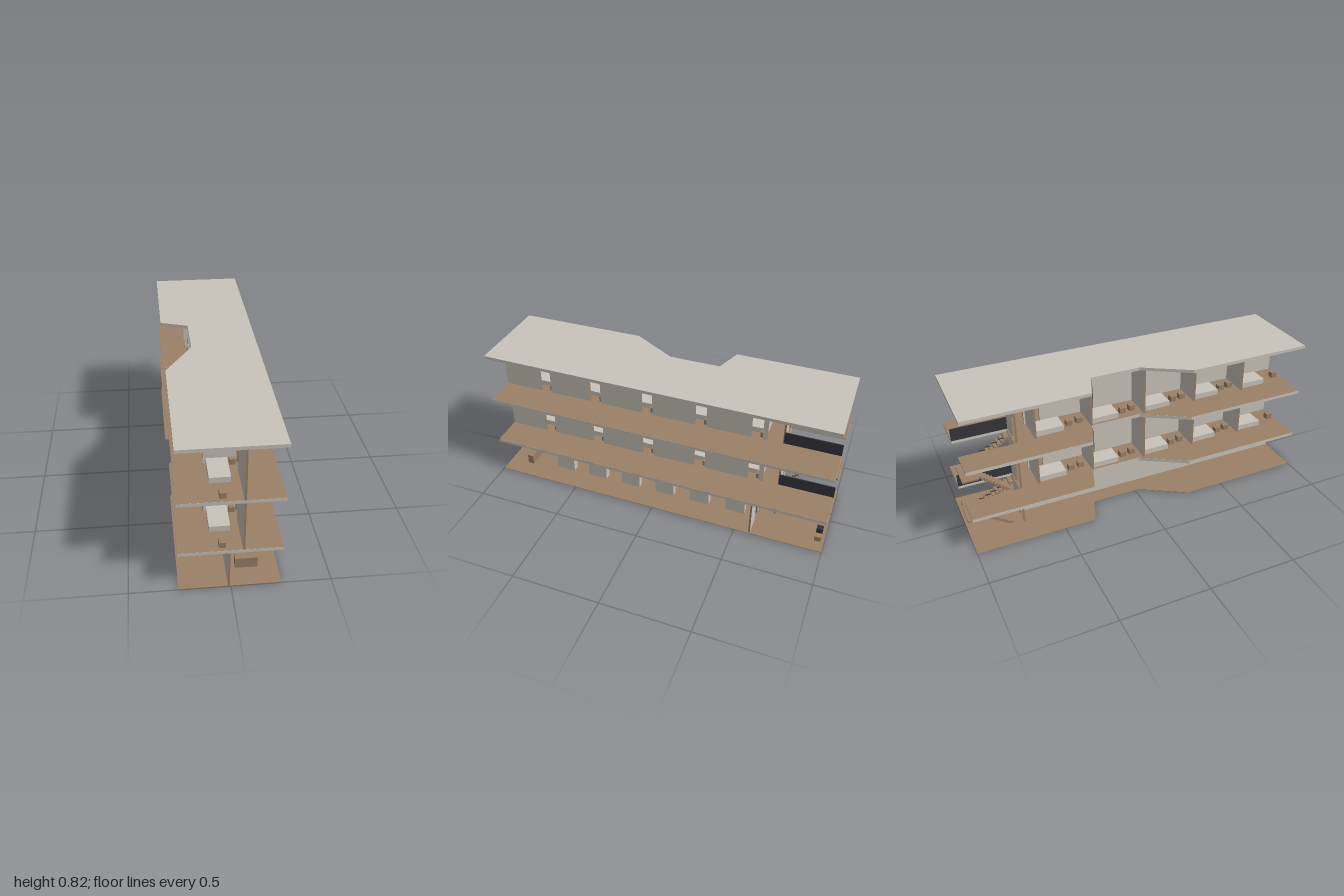
import * as THREE from 'three';

const mat = (name, color) => new THREE.MeshStandardMaterial({ name, color });

export function createModel() {
  const wall = mat('plaster grey', 0xc9c4ba);
  const wood = mat('wood brown', 0x9b8067);
  const dark = mat('dark metal', 0x36353b);
  const model = new THREE.Group();
  model.name = 'building';

  const add = (name, geometry, material) => {
    const m = new THREE.Mesh(geometry, material);
    m.name = name;
    model.add(m);
    return m;
  };
  // Box given by its min and max on each axis
  const box = (name, material, x0, x1, y0, y1, z0, z1) => {
    const m = add(name, new THREE.BoxGeometry(x1 - x0, y1 - y0, z1 - z0), material);
    m.position.set((x0 + x1) / 2, (y0 + y1) / 2, (z0 + z1) / 2);
    return m;
  };

  // Plan outline with the angled recess; upper floors get a stairwell cut-out
  const planShape = (stairwell) => {
    const pts = [[-0.258, 1], [0.25, 1], [0.262, -1]];
    if (stairwell) pts.push([0.055, -1], [0.055, -0.7], [-0.11, -0.7], [-0.11, -1]);
    pts.push([-0.265, -1], [-0.265, -0.32], [-0.11, -0.265], [-0.11, 0.02], [-0.262, 0.275]);
    return new THREE.Shape(pts.map(([x, z]) => new THREE.Vector2(x, -z)));
  };
  const slab = (name, shape, y, depth, material) => {
    const g = new THREE.ExtrudeGeometry(shape, { depth, bevelEnabled: false });
    add(name, g.rotateX(-Math.PI / 2), material).position.y = y;
  };
  const floorFinish = (shape, y) => {
    const g = new THREE.ShapeGeometry(shape).rotateX(-Math.PI / 2);
    add('floorFinish', g, wood).position.y = y;
  };

  // Thin wall with door openings: plaster faces, brown edges and jambs
  const T = 0.01, DOOR = 0.145;
  const wallGeometry = (u0, u1, h, doors) => {
    const s = new THREE.Shape();
    s.moveTo(u0, 0);
    for (const [a, b] of doors) {
      s.lineTo(a, 0); s.lineTo(a, DOOR); s.lineTo(b, DOOR); s.lineTo(b, 0);
    }
    s.lineTo(u1, 0); s.lineTo(u1, h); s.lineTo(u0, h);
    return new THREE.ExtrudeGeometry(s, { depth: T, bevelEnabled: false }).translate(0, 0, -T / 2);
  };
  const wallAlongX = (name, z, y, x0, x1, h, doors = []) =>
    add(name, wallGeometry(x0, x1, h, doors), [wall, wood]).position.set(0, y, z);
  const wallAlongZ = (name, x, y, z0, z1, h, doors = []) =>
    add(name, wallGeometry(z0, z1, h, doors).rotateY(-Math.PI / 2), [wall, wood]).position.set(x, y, 0);

  // Floors and roof
  slab('groundFloor', planShape(false), 0.001, 0.002, wood);
  for (const top of [0.232, 0.528]) {
    slab('floorSlab', planShape(true), top - 0.018, 0.018, wall);
    floorFinish(planShape(true), top + 0.0006);
  }
  slab('roofSlab', planShape(false), 0.804, 0.018, wall);

  // Ground floor walls
  const stairDoor = [[-0.095, -0.03]];
  wallAlongZ('groundSpineWall', -0.01, 0.002, -0.69, 1, 0.212);
  wallAlongX('groundEndWall', -0.588, 0.002, 0.06, 0.25, 0.212, [[0.085, 0.15]]);
  wallAlongX('groundStairWall', -0.69, 0.002, -0.11, 0.055, 0.212, stairDoor);

  // Ground floor fittings
  box('receptionDesk', wood, 0.035, 0.15, 0.002, 0.063, 0.845, 0.882);
  for (let i = 0; i < 6; i++) {
    const z = 0.63 - i * 0.219;
    box('displayBlock', wall, 0.08, 0.12, 0, 0.1, z - 0.058, z + 0.058);
  }
  box('brownStool', wood, 0.15, 0.185, 0.002, 0.032, -0.98, -0.944);
  box('darkStool', dark, 0.085, 0.12, 0.002, 0.032, -0.98, -0.944);

  // Upper floors: corridor wall, partitions and furnished rooms
  for (const y of [0.232, 0.528]) {
    const h = 0.278;
    const starts = [0, 1, 2, 3, 4].map((i) => 0.695 - i * 0.32);
    const doors = starts.map((z) => [z + 0.01, z + 0.075]).reverse();
    wallAlongZ('corridorWall', 0.06, y, -0.6, 1, h, doors);
    wallAlongX('stairWall', -0.69, y, -0.11, 0.055, h, stairDoor);
    box('balustrade', dark, 0.052, 0.058, y, y + 0.072, -1, -0.69);
    starts.forEach((z, i) => {
      wallAlongX('roomPartition', z, y, -0.11, 0.055, h);
      box('bed', wall, -0.095, 0.01, y, y + 0.032, z + 0.006, z + 0.165);
      box('nightstand', wood, 0.018, 0.048, y, y + 0.032, z + 0.006, z + 0.028);
      box('chair', wood, -0.058, -0.025, y, y + 0.032, z + 0.25, z + 0.285);
      if (i > 0) box('sideTable', wood, -0.064, -0.031, y, y + 0.032, z + 0.19, z + 0.225);
    });
  }

  // Two-flight stairs with a half landing and short rail bars
  const stairs = (base, top) => {
    const mid = base + (top - base) * 0.47;
    const N = 10;
    const run = (x0, x1, zA, zB, yA, yB) => {
      for (let i = 0; i < N; i++) {
        const z = zA + ((zB - zA) * (i + 0.5)) / N;
        const y = yA + ((yB - yA) * (i + 1)) / N;
        const half = Math.abs(zB - zA) / N / 2 + 0.003;
        box('stairTread', wood, x0, x1, y - 0.013, y, z - half, z + half);
      }
    };
    run(-0.095, -0.035, -0.75, -0.91, base, mid);
    run(-0.015, 0.045, -0.91, -0.71, mid, top);
    box('stairLanding', wood, -0.11, 0.05, mid - 0.01, mid, -1, -0.91);
    for (let i = 0; i < 5; i++) {
      const z = -0.73 - i * 0.035;
      const y = base + 0.07 + i * 0.018;
      box('lowerRailBar', dark, -0.04, -0.036, y, y + 0.004, z - 0.018, z + 0.018);
      const y2 = top - 0.004 - i * 0.015;
      box('upperRailBar', dark, -0.014, -0.01, y2, y2 + 0.004, z - 0.038, z - 0.008);
    }
  };
  stairs(0.002, 0.222);
  stairs(0.232, 0.518);

  return model;
}
